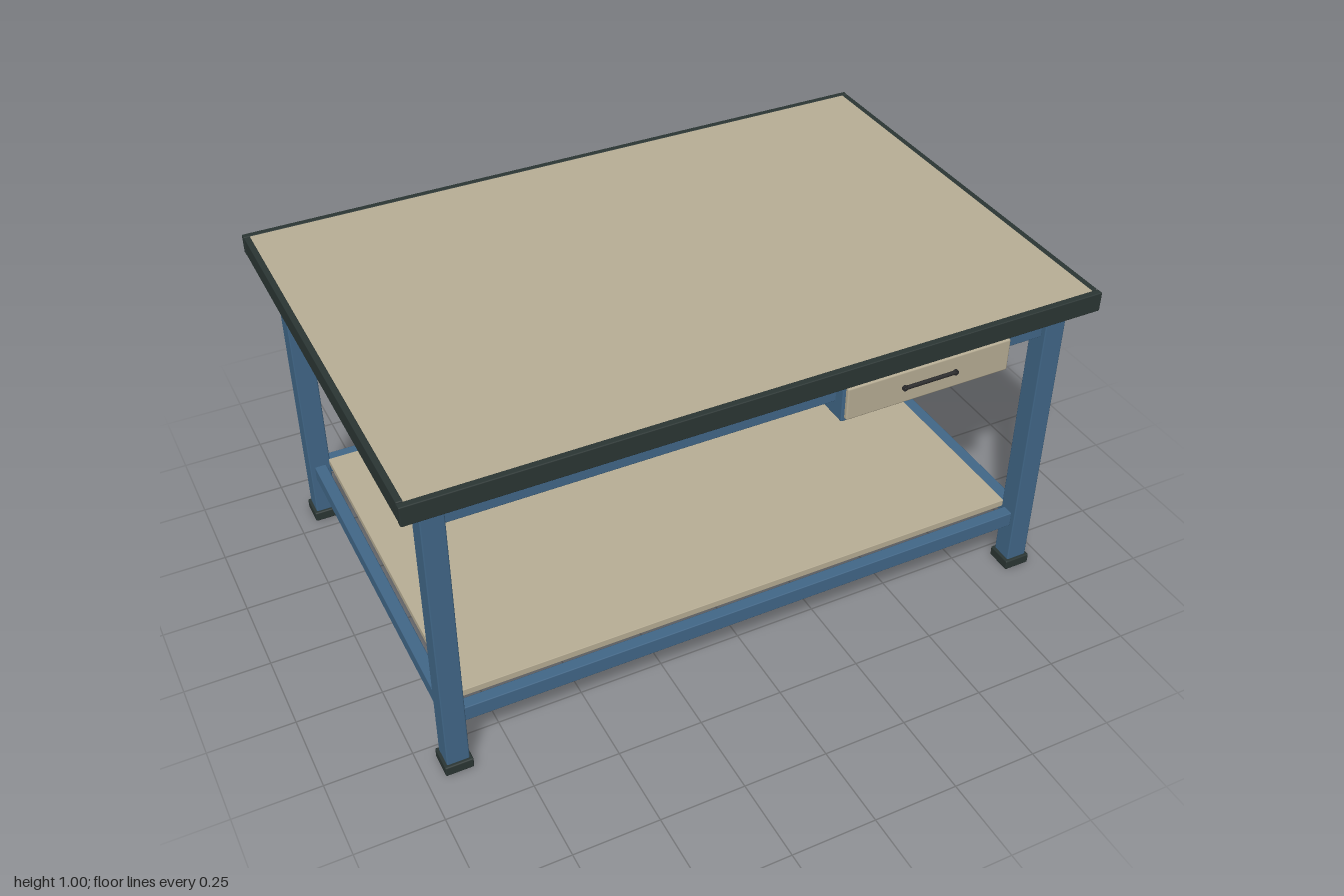
import * as THREE from 'three';
import { RoundedBoxGeometry } from 'three/addons/geometries/RoundedBoxGeometry.js';

const material = (name, color) => {
  const m = new THREE.MeshStandardMaterial({ color });
  m.name = name;
  return m;
};

export function createModel() {
  const bench = new THREE.Group();
  bench.name = 'workbench';
  const blue = material('blue steel', 0x416788);
  const beige = material('beige board', 0xb8ae95);
  const dark = material('dark edging', 0x2b3634);
  const black = material('black handle', 0x2a2a2b);

  // Slightly eased box given by its extents on each axis
  const box = (name, mat, [x0, x1], [y0, y1], [z0, z1], ease = 0.003, parent = bench) => {
    const geo = new RoundedBoxGeometry(x1 - x0, y1 - y0, z1 - z0, 1, ease);
    const mesh = new THREE.Mesh(geo, mat);
    mesh.position.set((x0 + x1) / 2, (y0 + y1) / 2, (z0 + z1) / 2);
    mesh.name = name;
    parent.add(mesh);
    return mesh;
  };
  const around = (c, size) => [c - size / 2, c + size / 2];

  const legX = 0.907, legZ = 0.577, legSize = 0.065;
  const spanX = [-0.875, 0.875], spanZ = [-0.544, 0.544];

  // Worktop with edging strips that hang below the board
  box('worktop', beige, [-0.982, 0.982], [0.951, 0.999], [-0.647, 0.647], 0.001);
  for (const s of [-1, 1]) {
    box('longEdging', dark, [-1, 1], [0.941, 1], around(s * 0.656, 0.02));
    box('endEdging', dark, around(s * 0.99, 0.018), [0.941, 1], [-0.644, 0.644]);
  }

  // Legs and feet
  for (const sx of [-1, 1]) for (const sz of [-1, 1]) {
    const leg = new THREE.Group();
    leg.name = 'leg';
    bench.add(leg);
    box('post', blue, around(sx * legX, legSize), [0.03, 0.951], around(sz * legZ, legSize), 0.004, leg);
    box('foot', dark, around(sx * legX, 0.081), [0, 0.032], around(sz * legZ, 0.081), 0.004, leg);
  }

  // Upper aprons and lower rails on all four sides
  for (const s of [-1, 1]) {
    for (const [name, y] of [['apron', [0.85, 0.95]], ['lowerRail', [0.16, 0.208]]]) {
      box(name + 'Long', blue, spanX, y, around(s * legZ, 0.036));
      box(name + 'End', blue, around(s * legX, 0.036), y, spanZ);
    }
  }

  // Lower shelf, leaving a narrow gap to the rails
  box('shelf', beige, [-0.878, 0.878], [0.2, 0.222], [-0.547, 0.547], 0.002);

  // Drawer under the front apron
  const drawer = new THREE.Group();
  drawer.name = 'drawer';
  bench.add(drawer);
  box('drawerCase', blue, [0.213, 0.742], [0.803, 0.92], [0.472, 0.628], 0.004, drawer);
  box('drawerFront', beige, [0.222, 0.733], [0.812, 0.913], [0.61, 0.639], 0.005, drawer);

  // Pull handle: a bar on two short posts
  const handle = new THREE.Group();
  handle.name = 'drawerHandle';
  handle.position.set(0.477, 0.863, 0.643);
  drawer.add(handle);
  const bar = new THREE.Mesh(new THREE.CapsuleGeometry(0.006, 0.16, 4, 12), black);
  bar.name = 'handleBar';
  bar.rotation.z = Math.PI / 2;
  handle.add(bar);
  for (const s of [-1, 1]) {
    const post = new THREE.Mesh(new THREE.CylinderGeometry(0.008, 0.008, 0.012, 12), black);
    post.name = 'handlePost';
    post.rotation.x = Math.PI / 2;
    post.position.set(s * 0.08, 0, -0.002);
    handle.add(post);
  }
  return bench;
}
